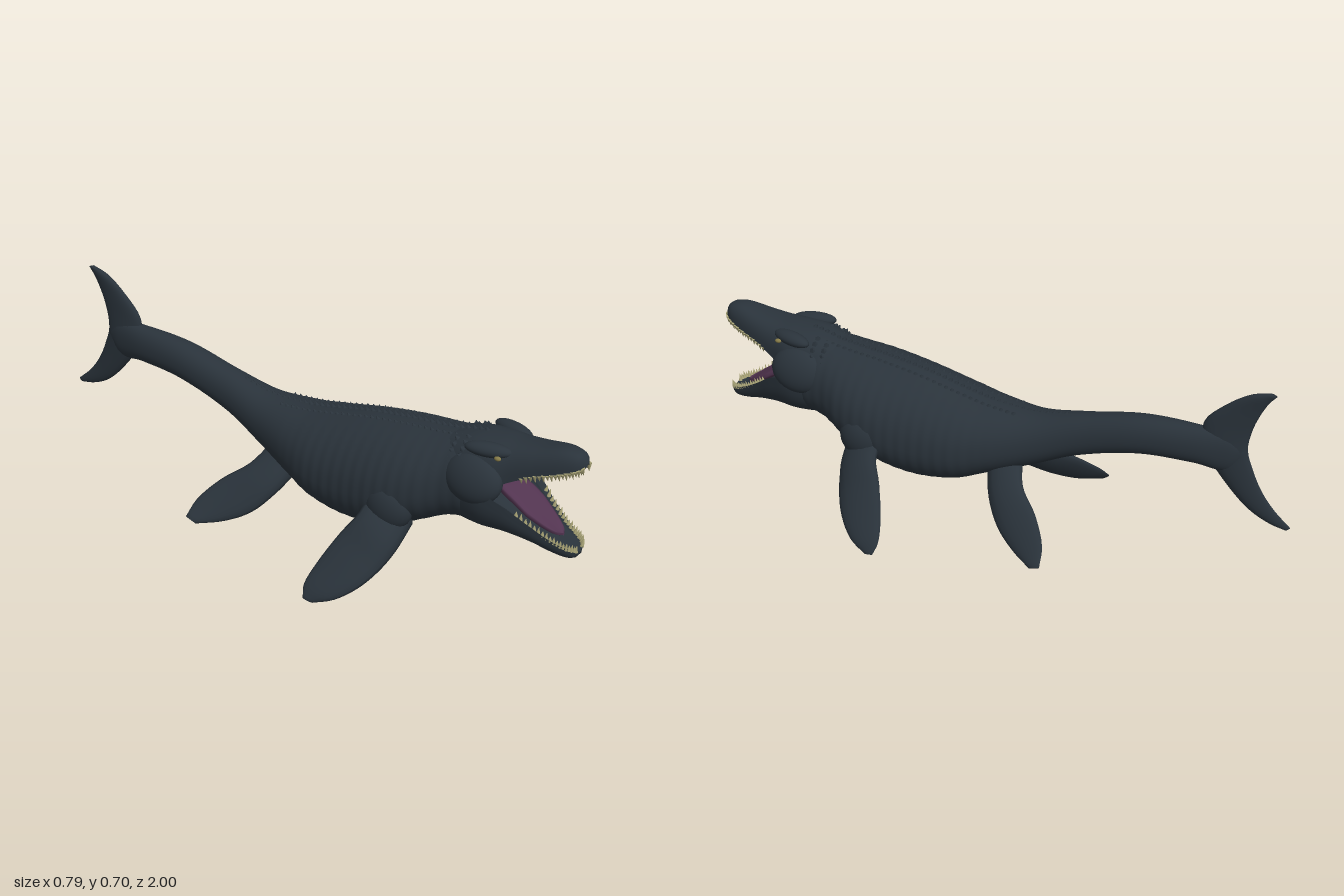
import * as THREE from 'three';
import { mergeGeometries } from 'three/addons/utils/BufferGeometryUtils.js';

const mat = (name, color, side = THREE.FrontSide) => {
  const m = new THREE.MeshStandardMaterial({ color, side });
  m.name = name;
  return m;
};
const V = (x, y, z) => new THREE.Vector3(x, y, z);

// Smooth lookup in a table of [z, a, b, c...] rows sorted by z
function at(rows, z) {
  const n = rows.length;
  let i = 0;
  while (i < n - 2 && z > rows[i + 1][0]) i++;
  const p = rows[i], q = rows[i + 1], h = q[0] - p[0];
  const t = THREE.MathUtils.clamp((z - p[0]) / h, 0, 1);
  const slope = (k, c) => {
    const a = rows[Math.max(k - 1, 0)], b = rows[Math.min(k + 1, n - 1)];
    return (b[c] - a[c]) / (b[0] - a[0]);
  };
  return p.slice(1).map((v, k) => {
    const c = k + 1, t2 = t * t, t3 = t2 * t;
    return (2 * t3 - 3 * t2 + 1) * v + (t3 - 2 * t2 + t) * h * slope(i, c)
      + (3 * t2 - 2 * t3) * q[c] + (t3 - t2) * h * slope(i + 1, c);
  });
}

// Skin over rings of points; closed rings get end caps
function loft(rings, closed = true) {
  const m = rings[0].length, n = rings.length, index = [];
  const pts = rings.flat();
  for (let i = 0; i < n - 1; i++) {
    for (let j = 0; j < (closed ? m : m - 1); j++) {
      const k = (j + 1) % m, a = i * m + j, d = i * m + k;
      index.push(a, d, a + m, d, d + m, a + m);
    }
  }
  if (closed) {
    for (const [r, flip] of [[0, true], [n - 1, false]]) {
      const c = pts.length;
      pts.push(rings[r].reduce((s, p) => s.add(p), V(0, 0, 0)).divideScalar(m));
      for (let j = 0; j < m; j++) {
        const a = r * m + j, b = r * m + (j + 1) % m;
        index.push(...(flip ? [b, a, c] : [a, b, c]));
      }
    }
  }
  const g = new THREE.BufferGeometry().setFromPoints(pts);
  g.setIndex(index);
  g.computeVertexNormals();
  return g;
}

// Fin with lens sections between leading and trailing edge points
function blade(rows, s = 1, sub = 4) {
  const pick = k => new THREE.CatmullRomCurve3(rows.map(r => V(r[k][0] * s, r[k][1], r[k][2])));
  const lead = pick(0), trail = pick(1), N = (rows.length - 1) * sub, rings = [];
  const mid = t => lead.getPoint(t).add(trail.getPoint(t)).multiplyScalar(0.5);
  for (let i = 0; i <= N; i++) {
    const t = i / N, f = Math.min(Math.floor(i / sub), rows.length - 2);
    const th = THREE.MathUtils.lerp(rows[f][2], rows[f + 1][2], i / sub - f);
    const u = lead.getPoint(t).sub(trail.getPoint(t)).multiplyScalar(0.5);
    const span = mid(Math.min(t + 0.02, 1)).sub(mid(Math.max(t - 0.02, 0)));
    const nrm = span.cross(u).normalize(), c = mid(t);
    rings.push(Array.from({ length: 16 }, (_, j) => {
      const a = j / 16 * Math.PI * 2;
      return c.clone().addScaledVector(u, Math.cos(a)).addScaledVector(nrm, th * Math.sin(a) * (1 + 0.25 * Math.cos(a)));
    }));
  }
  return loft(rings);
}

const range = (a, b, n) => Array.from({ length: n + 1 }, (_, i) => a + (b - a) * i / n);
const pw = (v, e) => Math.sign(v) * Math.abs(v) ** e;

// z, top, bottom, half width
const BODY = [
  [-0.835, 0.5, 0.45, 0.01], [-0.79, 0.53, 0.403, 0.025], [-0.68, 0.536, 0.408, 0.043],
  [-0.5, 0.525, 0.395, 0.055], [-0.3, 0.48, 0.335, 0.062], [-0.15, 0.448, 0.265, 0.09],
  [0, 0.452, 0.205, 0.14], [0.1, 0.47, 0.165, 0.17], [0.25, 0.503, 0.145, 0.186],
  [0.4, 0.525, 0.175, 0.19], [0.5, 0.535, 0.225, 0.172], [0.58, 0.545, 0.262, 0.142],
  [0.66, 0.55, 0.275, 0.128], [0.71, 0.54, 0.28, 0.115]];
const SKULL = [
  [0.54, 0.535, 0.4, 0.1], [0.64, 0.562, 0.4, 0.118], [0.72, 0.57, 0.42, 0.112],
  [0.78, 0.572, 0.46, 0.09], [0.85, 0.58, 0.493, 0.074], [0.93, 0.594, 0.518, 0.056],
  [0.975, 0.589, 0.535, 0.04], [0.993, 0.577, 0.543, 0.024], [1, 0.56, 0.55, 0.006]];
// z, rim, underside, half width
const JAW = [
  [0.6, 0.41, 0.275, 0.12], [0.7, 0.43, 0.268, 0.136], [0.78, 0.4, 0.27, 0.118],
  [0.86, 0.342, 0.258, 0.086], [0.92, 0.303, 0.242, 0.065], [0.97, 0.281, 0.235, 0.048],
  [0.992, 0.273, 0.24, 0.03], [1, 0.262, 0.252, 0.006]];

function bodyRing(z) {
  // trunk is widest low down, tail and neck are even ovals
  const trunk = THREE.MathUtils.smoothstep(z, -0.15, 0.2) * (1 - THREE.MathUtils.smoothstep(z, 0.5, 0.65));
  const [top, bot, w] = at(BODY, z), mid = bot + (0.45 - 0.03 * trunk) * (top - bot);
  // shallow skin folds around the trunk
  const fold = 1 + 0.008 * Math.sin(z * 150) * THREE.MathUtils.smoothstep(z, -0.1, 0.15);
  return Array.from({ length: 40 }, (_, j) => {
    const a = j / 40 * Math.PI * 2, s = Math.sin(a), up = s > 0;
    return V(w * fold * pw(Math.cos(a), up ? 0.92 + 0.18 * trunk : 0.85),
      mid + (up ? top - mid : mid - bot) * pw(s, 0.92), z);
  });
}

// Half-round strip across the head between +x and -x
function arch(z, w, edge, peak, sign, e = 0.75) {
  return range(0, Math.PI, 20).map(a => V(w * pw(Math.cos(a), e), edge + (peak - edge) * Math.sin(a) ** e, z))
    .sort((p, q) => sign * (q.x - p.x));
}

function cone(r, h, pos, dir) {
  const g = new THREE.ConeGeometry(r, h, 6);
  g.applyQuaternion(new THREE.Quaternion().setFromUnitVectors(V(0, 1, 0), dir.clone().normalize()));
  return g.translate(pos.x, pos.y, pos.z);
}

export function createModel() {
  const skin = mat('slate skin', 0x2a333b, THREE.DoubleSide);
  const mouth = mat('dark mouth lining', 0x1a2024, THREE.DoubleSide);
  const flesh = mat('purple tongue flesh', 0x523450);
  const ivory = mat('ivory teeth', 0xa8a376);
  const amber = mat('amber eye', 0x857a48);
  const model = new THREE.Group();
  const add = (name, g, m) => {
    const mesh = new THREE.Mesh(g, m);
    mesh.name = name;
    model.add(mesh);
    return mesh;
  };
  const ball = (name, m, p, r) => {
    const b = add(name, new THREE.SphereGeometry(1, 24, 16), m);
    b.position.set(...p);
    b.scale.set(...r);
    return b;
  };

  add('body', loft(range(-0.835, 0.71, 150).map(bodyRing)), skin);

  // Tail fluke, lower tip to upper tip
  add('tailFluke', blade([
    [[0, 0.237, -0.985], [0, 0.248, -1], 0.005], [[0, 0.247, -0.935], [0, 0.297, -0.945], 0.01],
    [[0, 0.28, -0.865], [0, 0.355, -0.9], 0.013], [[0, 0.355, -0.785], [0, 0.42, -0.868], 0.017],
    [[0, 0.46, -0.71], [0, 0.49, -0.845], 0.022], [[0, 0.555, -0.7], [0, 0.56, -0.853], 0.016],
    [[0, 0.632, -0.765], [0, 0.62, -0.873], 0.012], [[0, 0.686, -0.84], [0, 0.67, -0.898], 0.011],
    [[0, 0.704, -0.9], [0, 0.698, -0.92], 0.006]]), skin);

  // Head: skull and lower jaw, each with an inner lining
  const zs = range(0.54, 1, 46), zj = range(0.6, 1, 40);
  const skull = zs.map(z => [z, ...at(SKULL, z)]), jaw = zj.map(z => [z, ...at(JAW, z)]);
  add('skull', loft(skull.map(([z, t, b, w]) => arch(z, w, b, t, 1)), false), skin);
  add('palate', loft(skull.map(([z, t, b, w]) => arch(z, w, b, b + 0.5 * (t - b), -1)), false), mouth);
  add('lowerJaw', loft(jaw.map(([z, t, b, w]) => arch(z, w, t, b, -1)), false), skin);
  add('jawFloor', loft(jaw.map(([z, t, b, w]) => arch(z, w, t, t - 0.3 * (t - b), 1, 0.5)
    .map((p, j) => (j < 1 || j > 19 ? p : V(p.x * 0.84, p.y, z)))), false), skin);
  const throat = add('throat', new THREE.CircleGeometry(1, 32), mouth);
  throat.scale.set(0.11, 0.125, 1);
  throat.position.set(0, 0.42, 0.716);

  // Tongue follows the jaw floor, rounded at both ends
  add('tongue', loft(range(0.712, 0.94, 28).map((z, i) => {
    const [t, b, w] = at(JAW, z), k = i / 28;
    const end = Math.sqrt(Math.max((1 - k ** 6) * (1 - (1 - k) ** 8), 0.01));
    const r = Math.min(w * 0.64, 0.061) * end;
    const y = t - 0.3 * (t - b) + 0.02 + 0.016 * (1 - k);
    return range(0, Math.PI * 2, 20).slice(0, 20).map(a =>
      V(r * Math.cos(a), y + 0.028 * end * (1 - 0.5 * k) * Math.sin(a) + (Math.sin(a) > 0 ? 0.006 * Math.cos(a * 2) : 0), z));
  })), flesh);

  const teeth = [], scutes = [];
  for (const s of [-1, 1]) {
    const side = s > 0 ? 'left' : 'right';
    // Cheek, brow and eye
    const cheek = ball(side + 'Cheek', skin, [0.1 * s, 0.448, 0.675], [0.046, 0.078, 0.1]);
    cheek.rotation.z = 0.25 * s;
    const brow = ball(side + 'Brow', skin, [0.076 * s, 0.547, 0.71], [0.028, 0.023, 0.075]);
    brow.rotation.y = -0.25 * s;
    ball(side + 'Eye', amber, [0.094 * s, 0.537, 0.752], [0.008, 0.007, 0.011]);

    // Teeth along both jaws, closer together at the tips
    range(0, 1, 17).forEach((k, i) => {
      const z = 0.825 + 0.17 * (1 - (1 - k) ** 1.4), big = 0.02 + 0.007 * (i % 2);
      const [, b, w] = at(SKULL, z);
      teeth.push(cone(0.0072, big, V(s * w * 0.95, b - big * 0.25, z), V(-0.15 * s, -1, 0.1)));
      const [t, , v] = at(JAW, z);
      teeth.push(cone(0.0072, big, V(s * v * 0.93, t + big * 0.25, z), V(0.1 * s, 1, 0.15)));
    });

    // Shoulders and flippers: low leading edge, high trailing edge
    ball(side + 'Shoulder', skin, [0.148 * s, 0.29, 0.41], [0.055, 0.085, 0.085]);
    add(side + 'FrontFlipper', blade([
      [[0.11, 0.22, 0.475], [0.12, 0.33, 0.335], 0.048], [[0.19, 0.16, 0.468], [0.205, 0.265, 0.34], 0.04],
      [[0.25, 0.115, 0.45], [0.255, 0.195, 0.3], 0.029], [[0.31, 0.068, 0.413], [0.32, 0.11, 0.262], 0.021],
      [[0.36, 0.028, 0.355], [0.37, 0.05, 0.247], 0.013], [[0.385, 0.005, 0.29], [0.392, 0.014, 0.258], 0.006]], s), skin);
    add(side + 'RearFlipper', blade([
      [[0.06, 0.22, -0.005], [0.05, 0.29, -0.115], 0.04], [[0.13, 0.16, -0.04], [0.12, 0.235, -0.15], 0.031],
      [[0.19, 0.1, -0.095], [0.18, 0.18, -0.222], 0.023], [[0.24, 0.065, -0.17], [0.245, 0.115, -0.276], 0.016],
      [[0.288, 0.051, -0.25], [0.292, 0.067, -0.287], 0.007]], s), skin);

    // Outer scute rows and rough neck folds
    for (const z of range(-0.08, 0.62, 32)) {
      const ring = bodyRing(z).slice(0, 11).reverse(), x = 0.038;
      const k = ring.findIndex(p => p.x > x), p = ring[k - 1], q = ring[k];
      const y = THREE.MathUtils.mapLinear(x, p.x, q.x, p.y, q.y);
      scutes.push(cone(0.013, 0.016, V(x * s, y + 0.001, z), V(0.3 * s, 1, -0.3)));
    }
    for (let i = 0; i < 10; i++) {
      const z = 0.59 + 0.035 * (i % 2), [top, , w] = at(SKULL, z), a = 0.35 + i * 0.1;
      scutes.push(cone(0.018, 0.02, V(s * w * Math.cos(a) ** 0.75,
        0.4 + (top - 0.4) * Math.sin(a) ** 0.75, z), V(s * Math.cos(a), Math.sin(a), -0.4)));
    }
  }
  // Central spine ridge
  for (const z of range(-0.25, 0.66, 42)) {
    const r = z < 0 ? 0.009 : 0.014;
    scutes.push(cone(r, r * 1.5, V(0, Math.max(at(BODY, z)[0], z > 0.56 ? at(SKULL, z)[0] : 0) + 0.002, z), V(0, 1, -0.4)));
  }
  add('teeth', mergeGeometries(teeth), ivory);
  add('backScutes', mergeGeometries(scutes), skin);
  return model;
}
